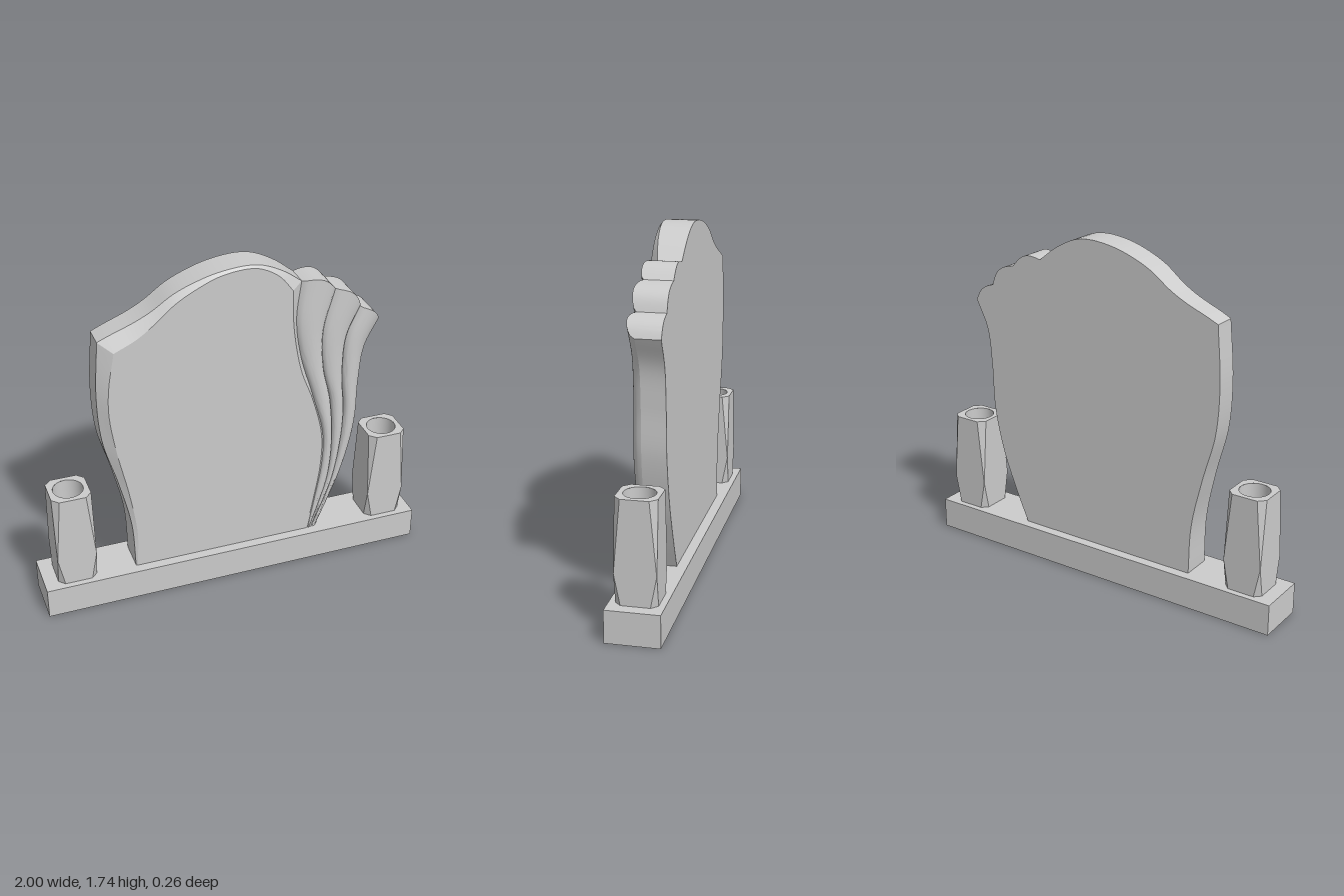
import * as THREE from 'three';
import { toCreasedNormals } from 'three/addons/utils/BufferGeometryUtils.js';

const BACK = -0.08, FRONT = 0.08, BASE_TOP = 0.16, N = 40;
const grey = new THREE.MeshStandardMaterial({ color: 0xcccccc });

function part(name, geometry, parent) {
  const mesh = new THREE.Mesh(geometry, grey);
  mesh.name = name;
  parent.add(mesh);
  return mesh;
}

// Evenly sampled smooth curve through [x, y, z] points
const curve = (pts) => new THREE.CatmullRomCurve3(
  pts.map(([x, y, z = FRONT]) => new THREE.Vector3(x, y, z))).getSpacedPoints(N);

// Surface over rows of points; faces towards (across x along)
function skin(rows, crease = 0.6) {
  const w = rows[0].length, index = [];
  for (let i = 0; i < rows.length - 1; i++) {
    for (let j = 0; j < w - 1; j++) {
      const a = i * w + j;
      index.push(a, a + 1, a + w, a + 1, a + w + 1, a + w);
    }
  }
  const g = new THREE.BufferGeometry().setFromPoints(rows.flat());
  g.setIndex(index);
  return toCreasedNormals(g, crease);
}

const strip = (a, b) => skin(a.map((p, i) => [p, b[i]]));

// Scalloped lobe between two valley curves, with a rounded top end
function lobeRows(left, right, depth, crown) {
  const chord = right[N].clone().sub(left[N]);
  const up = new THREE.Vector3(-chord.y, chord.x, 0).normalize();
  return left.map((p, i) => {
    const t = i / N, row = [];
    for (let j = 0; j <= 14; j++) {
      const s = Math.sin((j / 14) * Math.PI);
      const q = p.clone().lerp(right[i], j / 14);
      q.addScaledVector(up, crown * s * t ** 8);
      q.z += depth * Math.min(1, 0.3 + 1.5 * t) * Math.sqrt(s);
      row.push(q);
    }
    return row;
  });
}

function createHeadstone() {
  const stone = new THREE.Group();
  stone.name = 'headstone';

  // Left side and top edges: outer line of the bevel, then the inner one
  const leftOuter = curve([[-0.527, 0.16, 0.075], [-0.537, 0.415, 0.068], [-0.59, 0.67, 0.055],
    [-0.655, 0.92, 0.045], [-0.67, 1.163, 0.04], [-0.65, 1.457, 0.035]]);
  const leftInner = curve([[-0.52, 0.16], [-0.512, 0.36], [-0.543, 0.6], [-0.596, 0.87],
    [-0.623, 1.08], [-0.618, 1.22], [-0.585, 1.41]]);
  const topOuter = curve([[-0.65, 1.457, 0.035], [-0.6, 1.48, 0.037], [-0.473, 1.532, 0.042],
    [-0.393, 1.575, 0.047], [-0.286, 1.65, 0.055], [-0.18, 1.698, 0.062], [-0.07, 1.73, 0.067],
    [0.06, 1.743, 0.07], [0.142, 1.73, 0.067], [0.249, 1.677, 0.055], [0.35, 1.6, 0.035]]);
  const topInner = curve([[-0.585, 1.41], [-0.473, 1.463], [-0.393, 1.52], [-0.286, 1.61],
    [-0.18, 1.67], [-0.07, 1.714], [0.06, 1.73], [0.126, 1.72], [0.22, 1.666], [0.29, 1.58]]);

  // Right edge of the face, the valleys between lobes and the outer edge
  const rightInner = curve([[0.404, 0.16], [0.436, 0.334], [0.468, 0.548], [0.468, 0.735],
    [0.414, 0.95], [0.345, 1.136], [0.3, 1.377], [0.29, 1.58]]);
  const valleys = [
    [[0.413, 0.16, 0.075], [0.446, 0.334, 0.072], [0.48, 0.548, 0.07], [0.48, 0.735, 0.065],
      [0.42, 0.97, 0.055], [0.355, 1.19, 0.048], [0.327, 1.4, 0.042], [0.35, 1.6, 0.035]],
    [[0.422, 0.16, 0.072], [0.463, 0.28, 0.07], [0.516, 0.468, 0.065], [0.532, 0.68, 0.06],
      [0.516, 0.92, 0.056], [0.473, 1.11, 0.055], [0.463, 1.323, 0.055], [0.516, 1.543, 0.057]],
    [[0.434, 0.16, 0.07], [0.532, 0.414, 0.065], [0.575, 0.628, 0.06], [0.591, 0.84, 0.056],
      [0.575, 1.056, 0.055], [0.586, 1.27, 0.055], [0.65, 1.425, 0.057]],
    [[0.463, 0.16, 0.06], [0.527, 0.307, 0.05], [0.607, 0.52, 0.042], [0.66, 0.762, 0.038],
      [0.671, 1.0, 0.036], [0.693, 1.19, 0.036], [0.757, 1.33, 0.04]],
  ].map(curve);

  // Flat face
  const face = new THREE.Shape([...leftInner, ...topInner.slice(1),
    ...rightInner.slice(0, N).reverse()].map((p) => new THREE.Vector2(p.x, p.y)));
  part('frontFace', new THREE.ShapeGeometry(face).translate(0, 0, FRONT), stone);

  // Bevels
  part('leftBevel', strip(leftOuter, leftInner), stone);
  part('topBevel', strip(topOuter, topInner), stone);
  part('rightBevel', strip(rightInner, valleys[0]), stone);

  // Three lobes
  const depth = [0.028, 0.026, 0.036], crown = [0.035, 0.034, 0.022];
  const lobeTops = [];
  for (let k = 0; k < 3; k++) {
    const rows = lobeRows(valleys[k], valleys[k + 1], depth[k], crown[k]);
    part('lobe' + (k + 1), skin(rows, 1), stone);
    lobeTops.push(...rows[N].slice(1));
  }

  // Side wall all round the outline
  const outline = [...leftOuter, ...topOuter.slice(1), ...lobeTops,
    ...valleys[3].slice(0, N).reverse()];
  part('sideWall', strip(outline.map((p) => new THREE.Vector3(p.x, p.y, BACK)), outline), stone);

  // Back, drawn mirrored and turned round
  const back = new THREE.Shape(outline.map((p) => new THREE.Vector2(-p.x, p.y)));
  part('backFace', new THREE.ShapeGeometry(back).rotateY(Math.PI).translate(0, 0, BACK), stone);
  return stone;
}

// Square outline with cut corners, as [x, z] running round from the front
function cutSquare(half, cut) {
  const pts = [];
  for (let k = 0; k < 4; k++) {
    const c = Math.cos(k * Math.PI / 2), s = Math.sin(k * Math.PI / 2);
    for (const x of [-(half - cut), half - cut]) pts.push([x * c + half * s, half * c - x * s]);
  }
  return pts;
}

function createVase(x) {
  const vase = new THREE.Group();
  vase.name = x > 0 ? 'leftVase' : 'rightVase';
  const half = 0.099, top = 0.66, radius = 0.075;

  // Body: the corner cuts close to a point low on the body
  const rings = [[BASE_TOP, 0.03], [0.31, 0.0005], [top, 0.033]].map(([y, cut]) => {
    const ring = cutSquare(half, cut).map(([px, pz]) => new THREE.Vector3(px, y, pz));
    return [...ring, ring[0].clone()];
  });
  part('vaseBody', skin(rings, 0.05), vase);

  // Rim with a round opening
  const rim = new THREE.Shape(cutSquare(half, 0.033).map(([px, pz]) => new THREE.Vector2(px, -pz)));
  rim.holes.push(new THREE.Path().absarc(0, 0, radius, 0, Math.PI * 2, true));
  part('vaseRim', new THREE.ShapeGeometry(rim, 32).rotateX(-Math.PI / 2).translate(0, top, 0), vase);

  // Bore
  const bore = [[radius, top], [radius, 0.4], [0, 0.4]].map(([r, y]) => new THREE.Vector2(r, y));
  part('vaseBore', toCreasedNormals(new THREE.LatheGeometry(bore, 32), 0.6), vase);
  vase.position.x = x;
  return vase;
}

export function createModel() {
  const model = new THREE.Group();
  model.name = 'memorial';
  part('plinth', new THREE.BoxGeometry(2, BASE_TOP, 0.26).translate(0, BASE_TOP / 2, 0), model);
  model.add(createHeadstone(), createVase(-0.83), createVase(0.84));
  return model;
}
